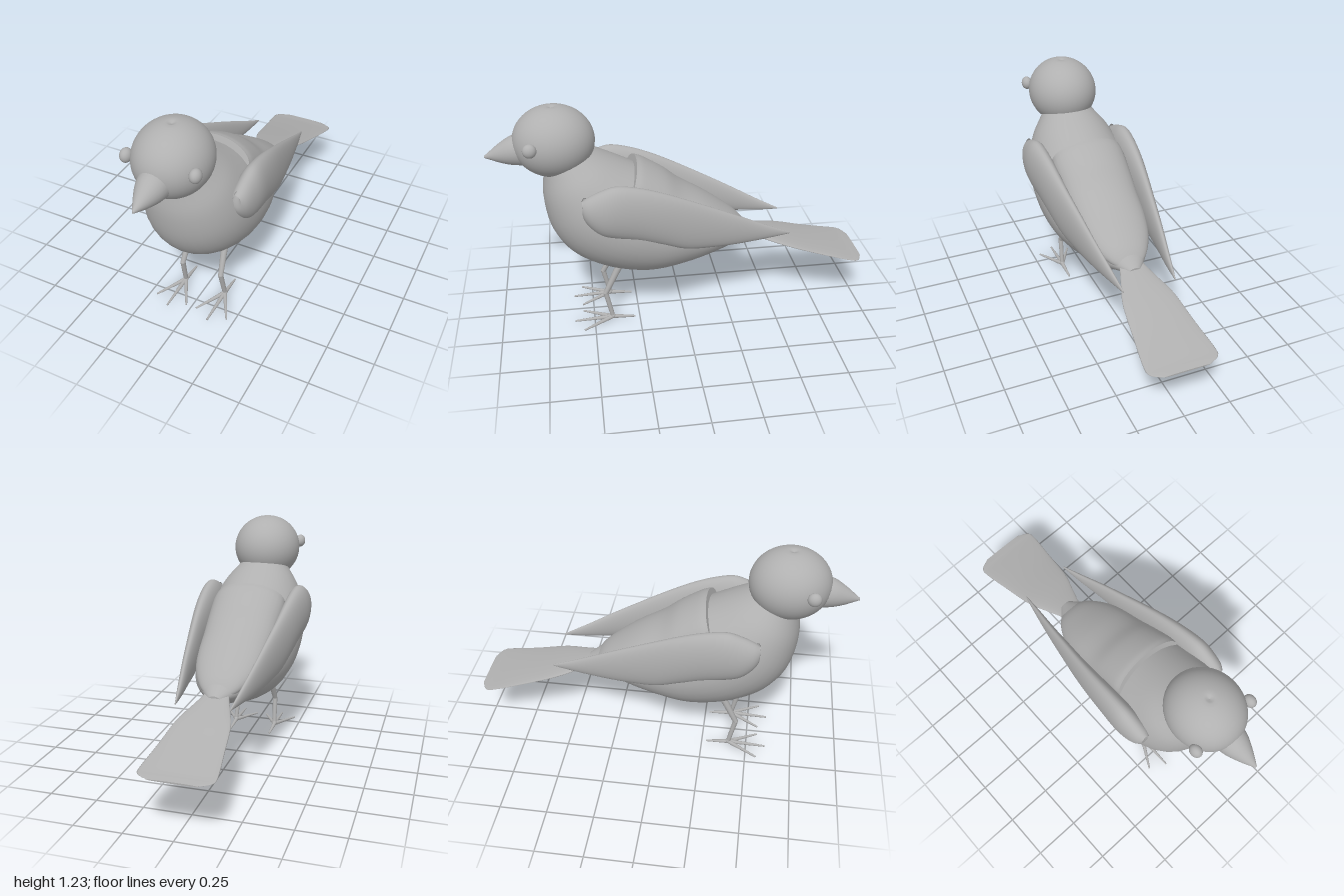
import * as THREE from 'three';

const grey = new THREE.MeshStandardMaterial({ color: 0xb0b0b0 });
grey.name = 'plain grey';

// Smooth closed loft from front to back.
// Each section: [top z, top y, bottom z, bottom y, half width, centre x]
function loft(sections, steps = 40, n = 32) {
  const curve = (f) => new THREE.CatmullRomCurve3(sections.map(f), false, 'catmullrom', 0.5);
  const tops = curve((s) => new THREE.Vector3(s[5] || 0, s[1], s[0]));
  const bottoms = curve((s) => new THREE.Vector3(s[5] || 0, s[3], s[2]));
  const widths = curve((s, i) => new THREE.Vector3(s[4], i, 0));
  const pos = [], idx = [];
  const ring = (t) => {
    const a = tops.getPoint(t), b = bottoms.getPoint(t);
    const w = Math.max(widths.getPoint(t).x, 0.001);
    const mid = a.clone().add(b).multiplyScalar(0.5);
    const half = a.clone().sub(b).multiplyScalar(0.5);
    for (let j = 0; j < n; j++) {
      const ang = (j / n) * Math.PI * 2, c = Math.cos(ang);
      pos.push(mid.x + Math.sin(ang) * w, mid.y + half.y * c, mid.z + half.z * c);
    }
    return mid;
  };
  for (let i = 0; i <= steps; i++) {
    ring(i / steps);
    if (i === steps) break;
    for (let j = 0; j < n; j++) {
      const k = (j + 1) % n, a = i * n, b = a + n;
      idx.push(a + j, a + k, b + j, a + k, b + k, b + j);
    }
  }
  // End caps with their own vertices, so their edges stay crisp
  for (const t of [0, 1]) {
    const start = pos.length / 3;
    const m = ring(t);
    pos.push(m.x, m.y, m.z);
    for (let j = 0; j < n; j++) {
      const k = (j + 1) % n;
      if (t === 0) idx.push(start + n, start + k, start + j);
      else idx.push(start + n, start + j, start + k);
    }
  }
  const g = new THREE.BufferGeometry();
  g.setAttribute('position', new THREE.Float32BufferAttribute(pos, 3));
  g.setIndex(idx);
  g.computeVertexNormals();
  return g;
}

// Tapered rod between two points
function rod(a, b, ra, rb) {
  const from = new THREE.Vector3(...a), to = new THREE.Vector3(...b);
  const dir = to.clone().sub(from);
  const g = new THREE.CylinderGeometry(rb, ra, dir.length(), 10);
  g.applyQuaternion(new THREE.Quaternion().setFromUnitVectors(new THREE.Vector3(0, 1, 0), dir.normalize()));
  const m = from.add(to).multiplyScalar(0.5);
  return g.translate(m.x, m.y, m.z);
}

export function createModel() {
  const bird = new THREE.Group();
  bird.name = 'bird';
  const add = (name, geometry, parent = bird) => {
    const mesh = new THREE.Mesh(geometry, grey);
    mesh.name = name;
    parent.add(mesh);
    return mesh;
  };

  // Breast and belly, cut by planes that swing from the neck to the tail
  add('body', loft([
    [0.46, 0.99, 0.71, 0.9, 0.145],
    [0.37, 0.945, 0.725, 0.74, 0.215],
    [0.28, 0.9, 0.69, 0.56, 0.26],
    [0.2, 0.86, 0.59, 0.42, 0.28],
    [0.1, 0.8, 0.42, 0.325, 0.28],
    [0.0, 0.735, 0.2, 0.28, 0.255],
    [-0.12, 0.67, -0.01, 0.307, 0.21],
    [-0.24, 0.59, -0.21, 0.37, 0.155],
    [-0.35, 0.51, -0.34, 0.42, 0.075],
    [-0.4, 0.475, -0.4, 0.44, 0.03],
  ]));

  // Raised back between the wings, with a step at its front edge
  add('back', loft([
    [0.235, 0.915, 0.32, 0.7, 0.2],
    [0.19, 0.898, 0.26, 0.66, 0.205],
    [0.09, 0.838, 0.14, 0.58, 0.2],
    [0.0, 0.765, 0.03, 0.52, 0.195],
    [-0.12, 0.69, -0.11, 0.48, 0.183],
    [-0.22, 0.62, -0.22, 0.45, 0.158],
    [-0.31, 0.55, -0.31, 0.44, 0.108],
    [-0.365, 0.485, -0.365, 0.445, 0.05],
  ]));

  // Tail fan with rounded end
  add('tail', loft([
    [-0.28, 0.51, -0.28, 0.47, 0.05],
    [-0.36, 0.477, -0.36, 0.445, 0.068],
    [-0.45, 0.45, -0.45, 0.415, 0.1],
    [-0.57, 0.415, -0.57, 0.383, 0.14],
    [-0.75, 0.36, -0.75, 0.333, 0.165],
    [-0.92, 0.313, -0.92, 0.297, 0.187],
    [-0.97, 0.302, -0.97, 0.29, 0.175],
    [-1.0, 0.296, -1.0, 0.288, 0.12],
  ]));

  // Head, turned around a vertical axis with a tiny dimple in the crown
  const profile = [];
  for (let i = 0; i <= 30; i++) {
    const a = (i / 30) * (Math.PI - 0.13);
    profile.push(new THREE.Vector2(Math.sin(a), -Math.cos(a)));
  }
  profile.push(new THREE.Vector2(0.08, 0.97), new THREE.Vector2(0, 0.94));
  const head = add('head', new THREE.LatheGeometry(profile, 40));
  head.scale.set(0.19, 0.185, 0.208);
  head.position.set(0, 1.047, 0.65);

  add('beak', loft([
    [1.0, 0.984, 1.0, 0.972, 0.005],
    [0.97, 1.008, 0.97, 0.962, 0.022],
    [0.93, 1.04, 0.93, 0.947, 0.043],
    [0.87, 1.078, 0.87, 0.932, 0.069],
    [0.8, 1.1, 0.8, 0.925, 0.085],
  ], 16, 24));

  for (const side of [1, -1]) {
    const label = side > 0 ? 'left' : 'right';

    const eye = add(label + 'Eye', new THREE.SphereGeometry(1, 20, 14));
    eye.scale.set(0.029, 0.036, 0.035);
    eye.position.set(side * 0.176, 1.072, 0.765);

    // Folded wing: front, shoulder, then a long taper to the tip
    add(label + 'Wing', loft([
      [0.5, 0.835, 0.5, 0.82, 0.006, 0.255],
      [0.52, 0.84, 0.52, 0.81, 0.012, 0.255],
      [0.53, 0.82, 0.53, 0.74, 0.025, 0.255],
      [0.5, 0.84, 0.5, 0.68, 0.047, 0.256],
      [0.44, 0.868, 0.44, 0.625, 0.06, 0.257],
      [0.36, 0.89, 0.36, 0.6, 0.064, 0.257],
      [0.25, 0.872, 0.25, 0.575, 0.059, 0.251],
      [0.13, 0.832, 0.13, 0.535, 0.052, 0.242],
      [0.0, 0.775, 0.0, 0.49, 0.043, 0.228],
      [-0.15, 0.703, -0.15, 0.475, 0.034, 0.207],
      [-0.29, 0.633, -0.29, 0.472, 0.025, 0.187],
      [-0.45, 0.55, -0.45, 0.475, 0.015, 0.16],
      [-0.575, 0.49, -0.575, 0.482, 0.003, 0.14],
    ].map((s) => [...s.slice(0, 5), s[5] * side]), 60));

    // Leg with three toes in front and one behind
    const leg = new THREE.Group();
    leg.name = label + 'Leg';
    bird.add(leg);
    const hip = [side * 0.098, 0.38, 0.33], knee = [side * 0.114, 0.172, 0.433];
    const ankle = [side * 0.12, 0.022, 0.4];
    add('thigh', rod(hip, knee, 0.021, 0.014), leg);
    add('shin', rod(knee, ankle, 0.014, 0.012), leg);
    for (const [at, r] of [[knee, 0.0145], [ankle, 0.015]]) {
      add('joint', new THREE.SphereGeometry(r, 10, 8).translate(...at), leg);
    }
    for (const [dx, z] of [[-0.09, 0.56], [0, 0.608], [0.09, 0.56], [0, 0.275]]) {
      add('toe', rod([ankle[0], 0.018, 0.4], [ankle[0] + dx, 0.006, z], 0.012, 0.005), leg);
    }
  }
  return bird;
}
